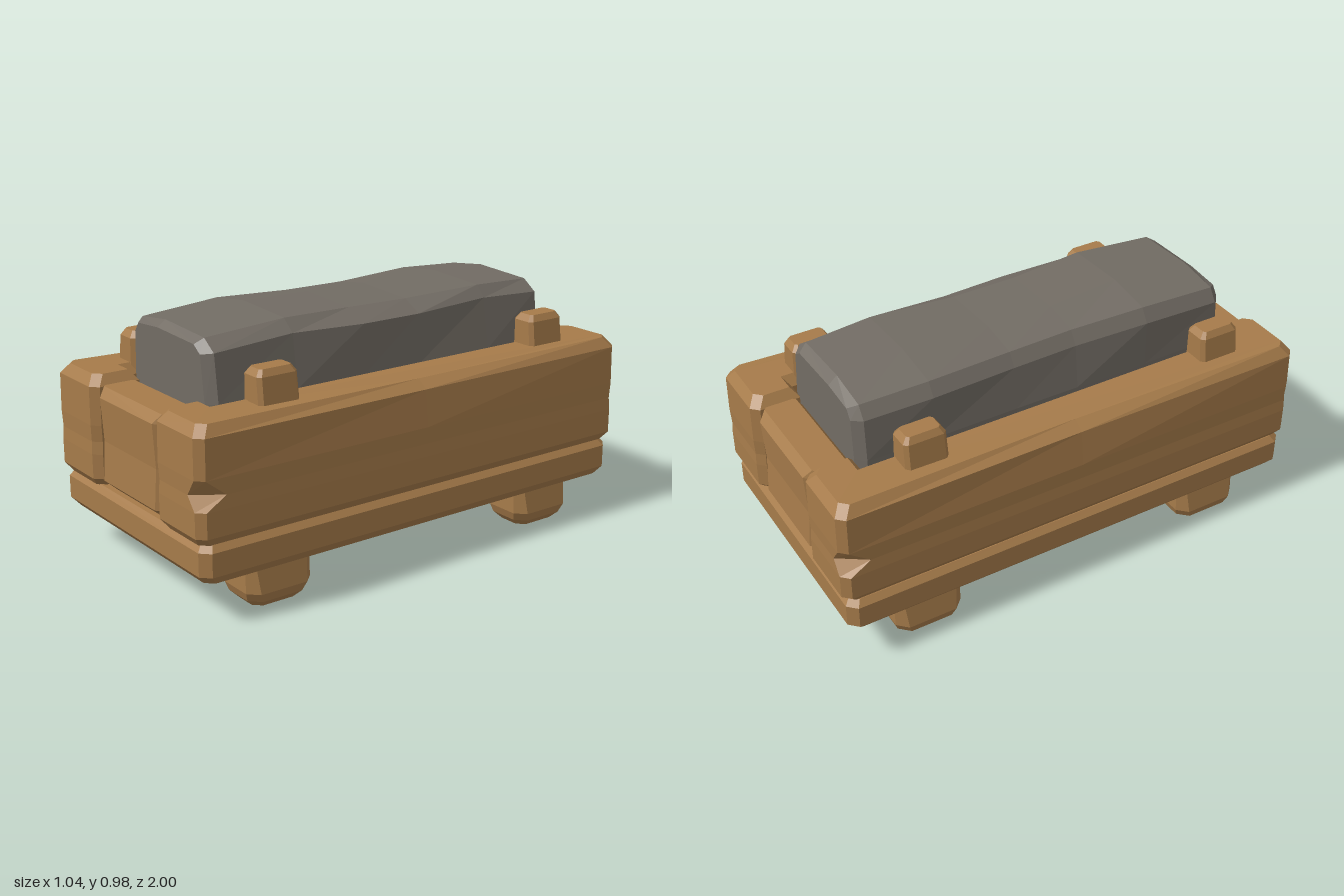
import * as THREE from 'three';

const wood = new THREE.MeshStandardMaterial({ color: 0xa67b4a, flatShading: true });
wood.name = 'wood';
const stone = new THREE.MeshStandardMaterial({ color: 0x726c64, flatShading: true });
stone.name = 'stone';

// Joins closed loops [height, [[a, b], ...]] into a capped, faceted solid.
// place(a, height, b) gives the position of each corner.
function loft(levels, place = (a, h, b) => [a, h, b]) {
  const n = levels[0][1].length;
  const pts = levels.map(([h, loop]) => loop.map(([a, b, lift = 0]) => new THREE.Vector3(...place(a, h + lift, b))));
  const tris = [];
  for (let k = 0; k + 1 < pts.length; k++) {
    for (let i = 0; i < n; i++) {
      const j = (i + 1) % n;
      const [p, q, r, s] = [pts[k][i], pts[k][j], pts[k + 1][j], pts[k + 1][i]];
      tris.push([p, q, r], [p, r, s]);
    }
  }
  const capFaces = (k) => {
    const flat = levels[k][1].map(([a, b]) => new THREE.Vector2(a, b));
    const up = THREE.ShapeUtils.area(flat) > 0;
    // caps wind opposite to each other and agree with the side walls
    for (const f of THREE.ShapeUtils.triangulateShape(flat, [])) {
      const [a, b, c] = f.map((i) => flat[i]);
      const ccw = (b.x - a.x) * (c.y - a.y) - (b.y - a.y) * (c.x - a.x) > 0;
      const t = f.map((i) => pts[k][i]);
      if ((ccw === up) !== (k > 0)) t.reverse();
      tris.push(t);
    }
  };
  capFaces(0);
  capFaces(pts.length - 1);
  let volume = 0;
  for (const [a, b, c] of tris) volume += a.dot(new THREE.Vector3().crossVectors(b, c));
  if (volume < 0) tris.forEach((t) => t.reverse());
  const geo = new THREE.BufferGeometry().setFromPoints(tris.flat());
  geo.computeVertexNormals();
  return geo;
}

// Rectangle with cut corners
const rect = (x0, x1, z0, z1, c) => [
  [x0 + c, z0], [x1 - c, z0], [x1, z0 + c], [x1, z1 - c],
  [x1 - c, z1], [x0 + c, z1], [x0, z1 - c], [x0, z0 + c],
];

// Plan of one side wall: a long rail with a post at each end
function wallPlan(d, notch = 0, dip = 0) {
  const c = 0.03, i = 0.22 + d, o = 0.52 - d, e = 1 - d, r = 0.3 + d, s = 0.8 + d;
  return [
    [i, e - c], [i + c, e], [o - c - notch * 0.045, e], [o, e - c - notch * 0.08],
    [o - dip, 0, -dip * 0.5], [o, -e + c], [o - c, -e], [i + c, -e], [i, -e + c],
    [i, -s], [r, -s], [r, s], [i, s],
  ];
}

function add(parent, name, geo, material) {
  const mesh = new THREE.Mesh(geo, material);
  mesh.name = name;
  parent.add(mesh);
  return mesh;
}

export function createModel() {
  const model = new THREE.Group();
  model.name = 'stoneChest';

  // Base slab
  add(model, 'baseSlab', loft([
    [0.155, rect(-0.49, 0.49, -0.955, 0.955, 0.03)],
    [0.19, rect(-0.52, 0.515, -0.985, 0.985, 0.035)],
    [0.28, rect(-0.52, 0.515, -0.985, 0.985, 0.035)],
    [0.305, rect(-0.5, 0.495, -0.965, 0.965, 0.03)],
  ]), wood);

  // Side walls, each with a split in one corner post
  const wall = loft([
    [0.303, wallPlan(0.025)],
    [0.338, wallPlan(0)],
    [0.435, wallPlan(0)],
    [0.485, wallPlan(0.003, 1)],
    [0.55, wallPlan(0)],
    [0.7, wallPlan(0.002, 0, 0.015)],
    [0.74, wallPlan(0.032, 0, 0.03)],
  ]);

  // Sunken end panel
  const panel = loft([
    [0.308, rect(-0.18, 0.18, 0.83, 0.945, 0.02)],
    [0.345, rect(-0.222, 0.222, 0.8, 0.985, 0.032)],
    [0.5, rect(-0.222, 0.222, 0.8, 0.975, 0.03)],
    [0.67, rect(-0.222, 0.222, 0.8, 0.985, 0.03)],
    [0.705, rect(-0.222, 0.222, 0.825, 0.955, 0.01)],
  ]);

  // Stubby rounded foot
  const foot = loft([
    [0, rect(0.32, 0.46, 0.55, 0.74, 0.03)],
    [0.03, rect(0.288, 0.49, 0.52, 0.77, 0.04)],
    [0.065, rect(0.28, 0.502, 0.505, 0.783, 0.04)],
    [0.165, rect(0.29, 0.488, 0.505, 0.783, 0.03)],
  ]);

  // Leaning peg on the wall top
  const peg = loft([
    [0.7, rect(0.31, 0.432, 0.51, 0.685, 0.015)],
    [0.835, rect(0.31, 0.415, 0.512, 0.683, 0.015)],
    [0.86, rect(0.328, 0.4, 0.53, 0.665, 0.01)],
  ]);

  // Second half is the first turned half round
  for (const turn of [0, Math.PI]) {
    const half = new THREE.Group();
    half.name = turn ? 'rightRearHalf' : 'leftFrontHalf';
    half.rotation.y = turn;
    add(half, 'sideWall', wall, wood);
    add(half, 'endPanel', panel, wood);
    for (const [name, geo] of [['foot', foot], ['peg', peg]]) {
      add(half, name + 'Front', geo, wood);
      add(half, name + 'Back', geo, wood).position.z = -1.29;
    }
    model.add(half);
  }

  // Rough stone block: cross-sections along its length [z, inset, sway, lift]
  const section = ([z, d, sway, lift]) => [z, [
    [-0.292 + d, 0.306], [-0.292 + d, 0.72], [-0.285 + d - sway, 0.9 - d * 0.3 + lift],
    [-0.25 + d * 0.8 - sway, 0.955 - d * 0.7 + lift], [-0.07 + sway, 0.98 - d + lift],
    [0.2 - d * 0.4 + sway, 0.967 - d * 0.9 + lift], [0.268 - d - sway, 0.92 - d * 0.5 + lift],
    [0.29 - d, 0.72], [0.292 - d, 0.306],
  ]];
  add(model, 'stoneBlock', loft([
    [-0.805, 0.045, 0, 0], [-0.77, 0.008, 0, -0.005], [-0.5, 0.004, 0.012, 0.004],
    [-0.15, 0.006, -0.01, -0.004], [0.12, 0.004, -0.015, -0.002], [0.43, 0.002, 0.006, 0.006],
    [0.765, 0.008, 0, -0.012], [0.8, 0.045, 0, 0],
  ].map(section), (a, h, b) => [a, b, h]), stone);

  return model;
}
